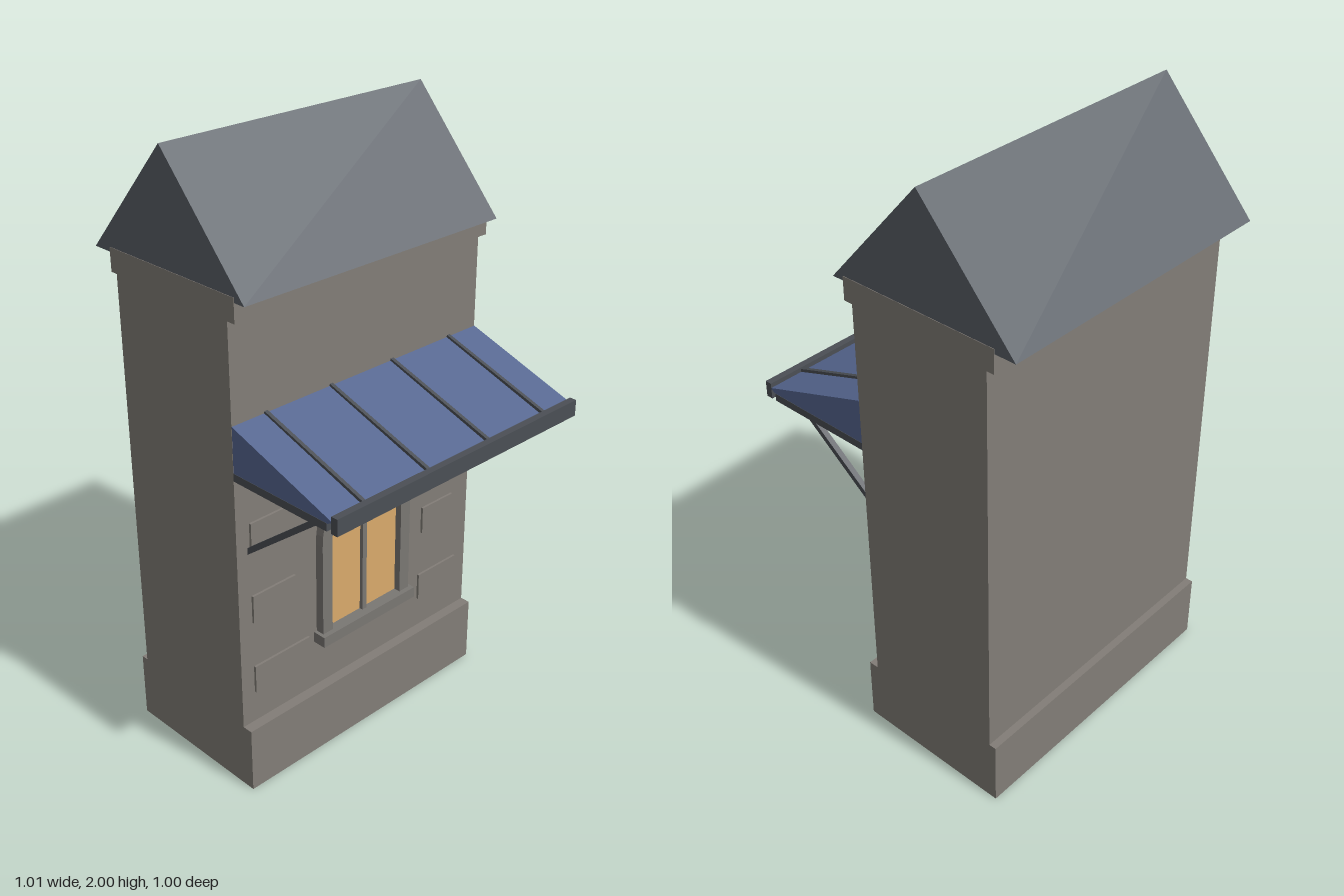
import * as THREE from 'three';

export function createModel() {
  const model = new THREE.Group();
  const mat = (name, color, side = THREE.FrontSide) => {
    const m = new THREE.MeshStandardMaterial({ color, side });
    m.name = name;
    return m;
  };
  const stone = mat('stone', 0x827d77);
  const trim = mat('trim stone', 0x7a7773);
  const slate = mat('slate', 0x5a6067);
  const metal = mat('dark metal', 0x4b4f55);
  const cloth = mat('blue awning', 0x566791, THREE.DoubleSide);
  const glass = mat('warm glass', 0xdaab6c);

  const add = (name, geo, material) => {
    const mesh = new THREE.Mesh(geo, material);
    mesh.name = name;
    model.add(mesh);
    return mesh;
  };
  // Box given by its minimum and maximum on each axis
  const box = (name, material, x0, x1, y0, y1, z0, z1) => {
    const mesh = add(name, new THREE.BoxGeometry(x1 - x0, y1 - y0, z1 - z0), material);
    mesh.position.set((x0 + x1) / 2, (y0 + y1) / 2, (z0 + z1) / 2);
    return mesh;
  };
  // Bar between two (z, y) points at a given x
  const bar = (name, material, x, w, t, z0, y0, z1, y1) => {
    const mesh = add(name, new THREE.BoxGeometry(w, t, Math.hypot(z1 - z0, y1 - y0)), material);
    mesh.position.set(x, (y0 + y1) / 2, (z0 + z1) / 2);
    mesh.rotation.x = -Math.atan2(y1 - y0, z1 - z0);
    return mesh;
  };

  // Wall body
  const W = 0.505, front = 0.085;
  box('plinth', stone, -W, W, 0, 0.225, -0.425, 0.12);
  box('wall', stone, -W, W, 0.225, 1.575, -0.4, front);
  box('cornice', stone, -W, W, 1.575, 1.65, -0.425, 0.115);

  // Gabled roof, extruded along x
  const gable = new THREE.Shape([
    new THREE.Vector2(-0.155, 1.635), new THREE.Vector2(0.495, 1.635), new THREE.Vector2(0.17, 2)]);
  const roofGeo = new THREE.ExtrudeGeometry(gable, { depth: 2 * W - 0.003, bevelEnabled: false });
  roofGeo.translate(0, 0, -W + 0.0015).rotateY(Math.PI / 2);
  add('roof', roofGeo, slate);

  // Raised stones: [x0, x1, y0, y1]
  for (const [x0, x1, y0, y1] of [
    [-0.455, -0.235, 0.84, 0.935], [-0.455, -0.285, 0.59, 0.685], [-0.455, -0.23, 0.335, 0.43],
    [0.265, 0.455, 0.84, 0.935], [0.28, 0.425, 0.59, 0.685], [0.27, 0.45, 0.335, 0.43],
  ]) box('raisedStone', stone, x0, x1, y0, y1, front - 0.01, 0.093);

  // Pointed arch window
  const archPoints = (a, apex, base, spring = 0.75) => {
    const h = apex - spring, r = (a * a + h * h) / (2 * a), end = Math.asin(h / r);
    const right = [];
    for (let i = 0; i <= 10; i++) {
      const t = end * i / 10;
      right.push(new THREE.Vector2(a - r + r * Math.cos(t), spring + r * Math.sin(t)));
    }
    const left = right.slice(0, -1).reverse().map(p => new THREE.Vector2(-p.x, p.y));
    return [new THREE.Vector2(-a, base), new THREE.Vector2(a, base), ...right, ...left];
  };
  const surround = new THREE.Shape(archPoints(0.193, 1.04, 0.425));
  surround.holes.push(new THREE.Path(archPoints(0.152, 0.988, 0.43)));
  add('windowSurround', new THREE.ExtrudeGeometry(surround, { depth: 0.03, bevelEnabled: false }), trim)
    .position.z = front;
  add('windowGlass', new THREE.ShapeGeometry(new THREE.Shape(archPoints(0.152, 0.988, 0.43))), glass)
    .position.z = 0.092;
  box('mullion', trim, -0.009, 0.009, 0.43, 0.975, front, 0.104);
  box('windowSill', trim, -0.205, 0.205, 0.395, 0.432, front - 0.005, 0.132);

  // Awning sheet
  const sheet = new THREE.BoxGeometry(2 * W, 0.006, Math.hypot(0.395, 0.135));
  const canopy = add('awningSheet', sheet, cloth);
  canopy.position.set(0, 1.193, 0.2825);
  canopy.rotation.x = Math.atan2(0.135, 0.395);

  // Awning fascia and wall rail
  box('awningFascia', metal, -W, W, 1.092, 1.145, 0.477, 0.5);
  box('awningFrontRail', metal, -W, W, 1.092, 1.117, 0.435, 0.46);
  for (const x of [-0.38, -0.127, 0.127, 0.38])
    bar('awningRib', metal, x, 0.012, 0.014, front, 1.264, 0.485, 1.13);

  // Awning ends, side rails and braces, mirrored
  for (const s of [-1, 1]) {
    const cheek = new THREE.Shape([
      new THREE.Vector2(-front, 1.115), new THREE.Vector2(-front, 1.26),
      new THREE.Vector2(-0.478, 1.125), new THREE.Vector2(-0.46, 1.115)]);
    const end = add('awningEnd', new THREE.ShapeGeometry(cheek), cloth);
    end.rotation.y = Math.PI / 2;
    end.position.x = s * (W - 0.001);
    bar('awningSideRail', metal, s * 0.494, 0.022, 0.025, front, 1.1045, 0.46, 1.1045);
    bar('awningBrace', metal, s * 0.455, 0.018, 0.018, front - 0.005, 0.84, 0.41, 1.095);
  }
  return model;
}
